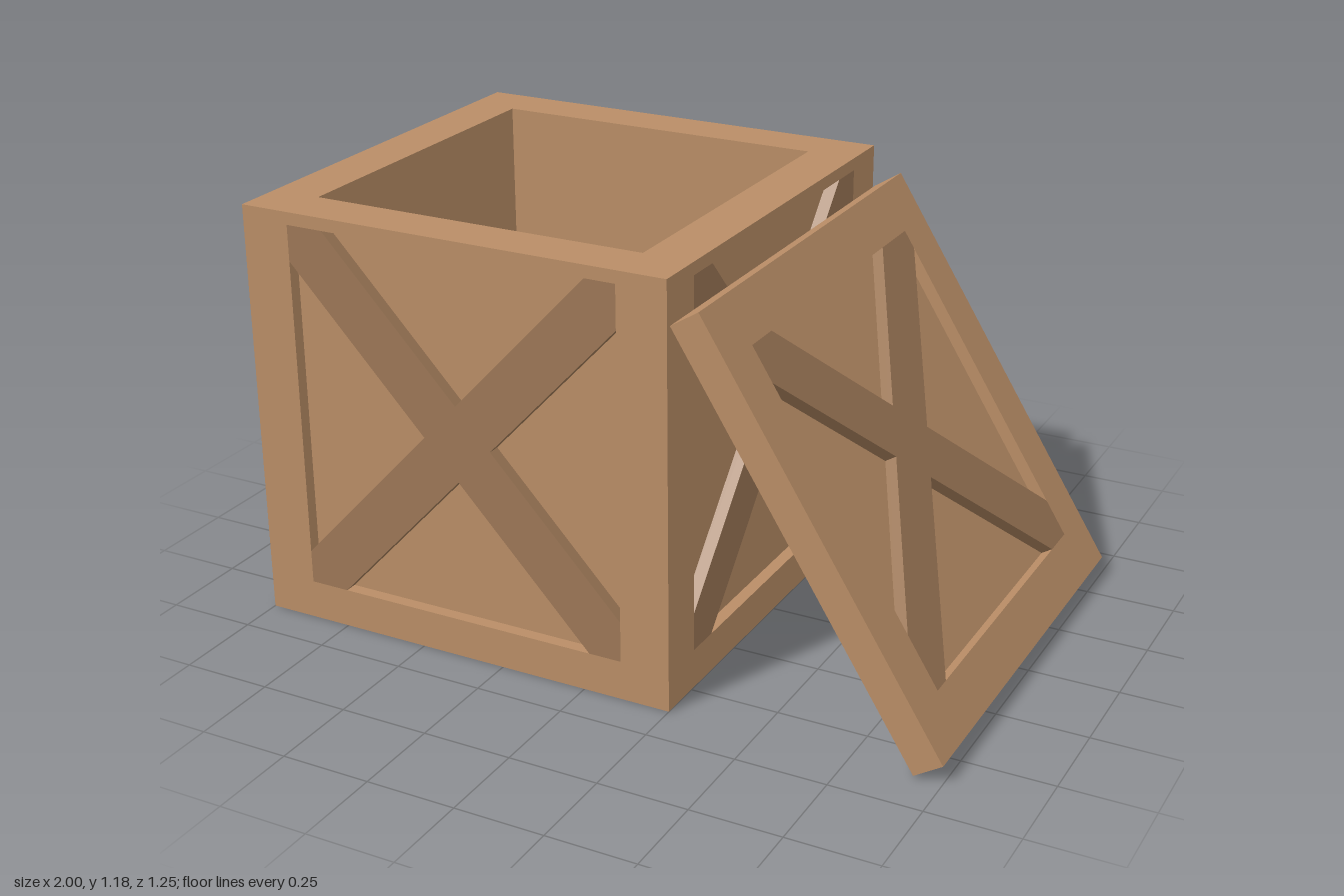
import * as THREE from 'three';

const HALF = 0.625;      // half width of crate and lid
const OPEN = 0.485;      // half width of every framed opening
const RECESS = 0.035;    // depth of the sunken panels
const HEIGHT = 1.18;
const CRATE_X = -0.375;

const wood = new THREE.MeshStandardMaterial({ color: 0xb98d66 });
const darkWood = new THREE.MeshStandardMaterial({ color: 0x9c7756 });

const rect = (x0, y0, x1, y1) => [[x0, y0], [x1, y0], [x1, y1], [x0, y1]].map(p => new THREE.Vector2(...p));

// Flat outline with an optional hole, extruded along +z from z0
function slab(outline, hole, z0, depth) {
  const shape = new THREE.Shape(outline);
  if (hole) shape.holes.push(new THREE.Path(hole));
  return new THREE.ExtrudeGeometry(shape, { depth, bevelEnabled: false }).translate(0, 0, z0);
}

function add(parent, name, geometry, material = wood) {
  const mesh = new THREE.Mesh(geometry, material);
  mesh.name = name;
  parent.add(mesh);
  return mesh;
}

// Keeps the part of a polygon where a*x + b*y <= c
function clip(points, a, b, c) {
  const out = [];
  points.forEach((p, i) => {
    const q = points[(i + 1) % points.length];
    const dp = a * p.x + b * p.y - c, dq = a * q.x + b * q.y - c;
    if (dp <= 0) out.push(p);
    if (dp * dq < 0) out.push(p.clone().lerp(q, dp / (dp - dq)));
  });
  return out;
}

// Two diagonal boards trimmed to the opening, flush with the frame face (z = 0)
function addCross(parent, halfV, cx, cy) {
  const h = 0.107, m = halfV / OPEN;
  for (const s of [-1, 1]) {
    const at = (u, dv) => new THREE.Vector2(cx + u, cy + s * m * u + dv);
    let board = [at(-1, -h), at(1, -h), at(1, h), at(-1, h)];
    board = clip(board, 1, 0, OPEN);
    board = clip(board, -1, 0, OPEN);
    board = clip(board, 0, 1, halfV);
    board = clip(board, 0, -1, halfV);
    add(parent, s < 0 ? 'fallingBrace' : 'risingBrace', slab(board, null, -RECESS, RECESS), darkWood);
  }
}

// One side of the crate: mitred frame and cross brace
function makeSide(name, angle, cx, cy) {
  const side = new THREE.Group();
  side.name = name;
  const halfV = 0.5175, midV = 0.6275;
  const frame = slab(rect(-HALF, -midV, HALF, HEIGHT - midV), rect(-OPEN, -halfV, OPEN, halfV), -RECESS, RECESS);
  const pos = frame.attributes.position;
  for (let i = 0; i < pos.count; i++) {
    const x = pos.getX(i);
    if (Math.abs(x) > 0.6 && pos.getZ(i) < -0.01) pos.setX(i, Math.sign(x) * (HALF - RECESS));
  }
  frame.computeVertexNormals();
  add(side, 'sideFrame', frame);
  addCross(side, halfV, cx, cy);
  side.rotation.y = angle;
  side.position.set(Math.sin(angle) * HALF, midV, Math.cos(angle) * HALF);
  return side;
}

function makeCrate() {
  const crate = new THREE.Group();
  crate.name = 'crate';
  const inner = HALF - RECESS;
  const ring = (y, h) => slab(rect(-inner, -inner, inner, inner), rect(-OPEN, -OPEN, OPEN, OPEN), 0, h)
    .rotateX(-Math.PI / 2).translate(0, y, 0);
  // Walls behind the frames, base rim and sunken floor
  add(crate, 'walls', ring(0, HEIGHT));
  add(crate, 'floor', new THREE.BoxGeometry(2 * OPEN, 0.105, 2 * OPEN).translate(0, RECESS + 0.0525, 0));
  crate.add(
    makeSide('frontSide', 0, 0.01, -0.003),
    makeSide('leftSide', Math.PI / 2, 0, 0),
    makeSide('backSide', Math.PI, 0, 0),
    makeSide('rightSide', -Math.PI / 2, 0, 0)
  );
  crate.position.x = CRATE_X;
  return crate;
}

// Lid leaning against the crate, braced face outward
function makeLid() {
  const lid = new THREE.Group();
  lid.name = 'lid';
  const thickness = 0.09;
  const square = () => rect(-HALF, -HALF, HALF, HALF);
  add(lid, 'lidFrame', slab(square(), rect(-OPEN, -OPEN, OPEN, OPEN), -RECESS, RECESS));
  add(lid, 'lidPanel', slab(square(), null, -thickness, thickness - RECESS));
  addCross(lid, OPEN, -0.025, 0.027);
  lid.rotation.set(0, Math.PI / 2, 0.562, 'ZYX');
  lid.position.set(0.667, 0.582, 0);
  return lid;
}

export function createModel() {
  const model = new THREE.Group();
  model.name = 'openCrate';
  model.add(makeCrate(), makeLid());
  return model;
}
